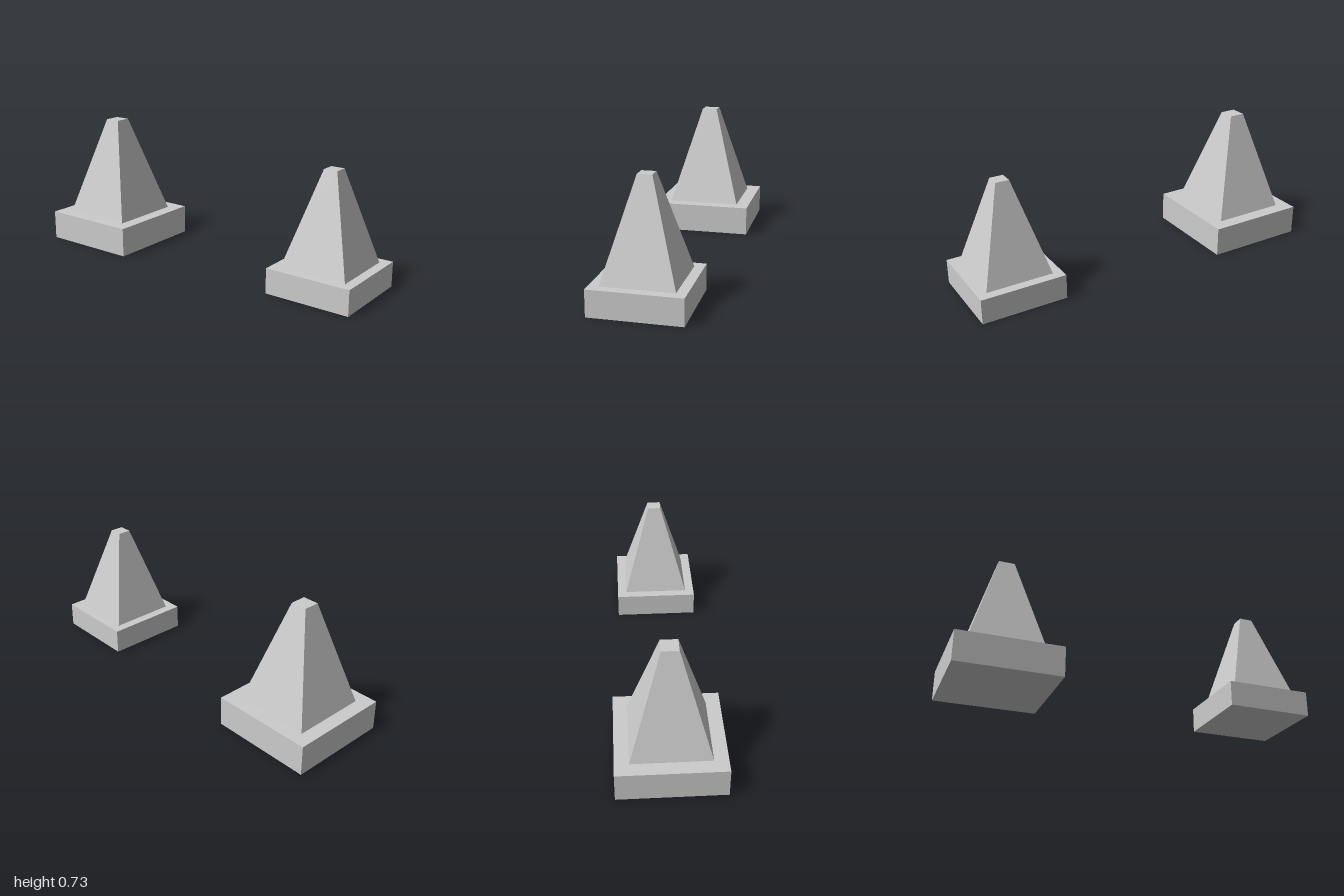
import * as THREE from 'three';

const stone = new THREE.MeshStandardMaterial({ color: 0xcccccc });
stone.name = 'grey stone';

// Square frustum with flat faces, standing on y = 0
function frustum(bottom, top, height) {
  const g = new THREE.CylinderGeometry(top * Math.SQRT1_2, bottom * Math.SQRT1_2, height, 4, 1);
  g.rotateY(Math.PI / 4);
  g.translate(0, height / 2, 0);
  const flat = g.toNonIndexed();
  flat.computeVertexNormals();
  return flat;
}

// Square plinth carrying a truncated pyramid
function pillar(name, x, plinthWidth, plinthHeight, spireWidth, tipWidth, topY) {
  const group = new THREE.Group();
  group.name = name;
  group.position.x = x;

  const plinth = new THREE.Mesh(new THREE.BoxGeometry(plinthWidth, plinthHeight, plinthWidth), stone);
  plinth.name = 'plinth';
  plinth.position.y = plinthHeight / 2;

  const spire = new THREE.Mesh(frustum(spireWidth, tipWidth, topY - plinthHeight), stone);
  spire.name = 'spire';
  spire.position.y = plinthHeight;

  group.add(plinth, spire);
  return group;
}

export function createModel() {
  const model = new THREE.Group();
  model.name = 'pairOfPillars';
  model.add(
    pillar('largePillar', -0.717, 0.566, 0.166, 0.416, 0.088, 0.731),
    pillar('smallPillar', 0.761, 0.478, 0.139, 0.373, 0.075, 0.653)
  );
  return model;
}
